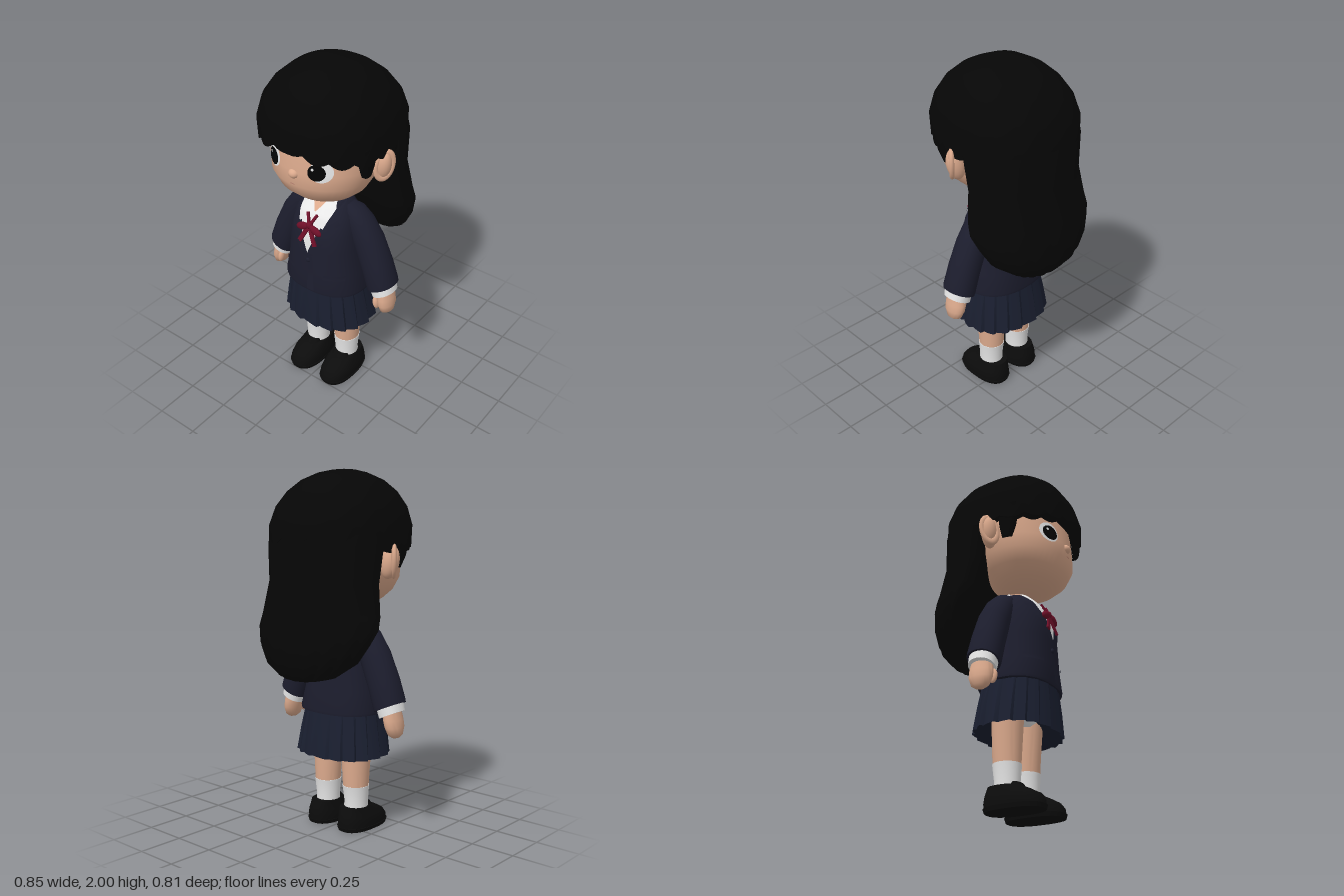
import * as THREE from 'three';
import { toCreasedNormals } from 'three/addons/utils/BufferGeometryUtils.js';

const mat = (name, color) => new THREE.MeshStandardMaterial({ name, color });

// Closed skin over rising sections [y, halfWidth, zFront, zBack, centreX]
function loft(secs, { n = 40, p = 2, mod, bottomY, topY, crease = 0.8 } = {}) {
  const pos = [], idx = [];
  const pw = v => Math.sign(v) * Math.abs(v) ** (2 / p);
  secs.forEach(([y, rx, zf, zb, cx = 0], i) => {
    for (let j = 0; j < n; j++) {
      const a = j / n * Math.PI * 2;
      const v = new THREE.Vector3(cx + rx * pw(Math.cos(a)), y, (zf + zb) / 2 + (zf - zb) / 2 * pw(Math.sin(a)));
      if (mod) mod(v, a, i, secs[i]);
      pos.push(v.x, v.y, v.z);
    }
  });
  const last = secs.length - 1;
  for (let i = 0; i < last; i++) for (let j = 0; j < n; j++) {
    const a = i * n + j, b = i * n + (j + 1) % n;
    idx.push(a, a + n, b, b, a + n, b + n);
  }
  const bot = pos.length / 3, top = bot + 1, s0 = secs[0], s1 = secs[last];
  pos.push(s0[4] || 0, bottomY ?? s0[0], (s0[2] + s0[3]) / 2, s1[4] || 0, topY ?? s1[0], (s1[2] + s1[3]) / 2);
  for (let j = 0; j < n; j++) {
    const k = (j + 1) % n;
    idx.push(bot, j, k, top, last * n + k, last * n + j);
  }
  const g = new THREE.BufferGeometry();
  g.setAttribute('position', new THREE.Float32BufferAttribute(pos, 3));
  g.setIndex(idx);
  return toCreasedNormals(g, crease);
}

// Front depth of a lofted body at (x, y)
const surface = (secs, p) => (x, y) => {
  let i = 0;
  while (i < secs.length - 2 && y > secs[i + 1][0]) i++;
  const A = secs[i], B = secs[i + 1], t = THREE.MathUtils.clamp((y - A[0]) / (B[0] - A[0]), 0, 1);
  const [, rx, zf, zb] = A.map((v, k) => v + (B[k] - v) * t);
  return (zf + zb) / 2 + (zf - zb) / 2 * Math.max(0, 1 - Math.abs(x / rx) ** p) ** (1 / p);
};

// Thin patch laid on a surface, from falling rows [y, xLeft, xRight]
function drape(rows, surf, off, cols = 10, sub = 5) {
  const pos = [], idx = [], all = [];
  rows.forEach((r, i) => {
    if (!i) return all.push(r);
    for (let s = 1; s <= sub; s++) all.push(r.map((v, k) => rows[i - 1][k] + (v - rows[i - 1][k]) * s / sub));
  });
  all.forEach(([y, a, b], i) => {
    for (let c = 0; c <= cols; c++) {
      const x = a + (b - a) * c / cols;
      pos.push(x, y, surf(x, y) + off);
      if (i && c) {
        const q = i * (cols + 1) + c, u = q - cols - 1;
        idx.push(u - 1, q - 1, u, u, q - 1, q);
      }
    }
  });
  const g = new THREE.BufferGeometry();
  g.setAttribute('position', new THREE.Float32BufferAttribute(pos, 3));
  g.setIndex(idx);
  g.computeVertexNormals();
  return g;
}

const oval = (cx, cy, rx, ry) => Array.from({ length: 17 }, (_, i) => {
  const a = i / 16 * Math.PI, w = rx * Math.sin(a);
  return [cy + ry * Math.cos(a), cx - w, cx + w];
});

export function createModel() {
  const model = new THREE.Group();
  model.name = 'schoolgirlFigure';
  const hair = mat('hairBlack', 0x060606), skin = mat('skin', 0xdcaa8d), navy = mat('jacketNavy', 0x1c1d2d),
    pleat = mat('skirtNavy', 0x1a1f30), white = mat('white', 0xefefef), sock = mat('sockWhite', 0xe4e4e4),
    red = mat('ribbonRed', 0x6e0f28), shoe = mat('shoeBlack', 0x0c0c0c), lip = mat('lip', 0xb98472),
    ink = mat('eyeBlack', 0x040404);
  const add = (name, geo, m, parent = model) => {
    const o = new THREE.Mesh(geo, m);
    o.name = name;
    parent.add(o);
    return o;
  };
  const ball = (name, m, parent, p, s, rz = 0) => {
    const o = add(name, new THREE.SphereGeometry(1, 20, 14), m, parent);
    o.position.set(...p); o.scale.set(...s); o.rotation.z = rz;
    return o;
  };

  // Head and neck
  const headSecs = [[1.245, .07, .15, 0], [1.27, .14, .22, -.05], [1.3, .19, .275, -.08], [1.35, .245, .33, -.12],
    [1.42, .285, .36, -.15], [1.5, .3, .358, -.18], [1.6, .305, .348, -.2], [1.7, .3, .335, -.2]];
  const face = surface(headSecs, 2);
  add('head', loft(headSecs, { n: 48, crease: 1.2 }), skin);
  add('neck', loft([[1.1, .075, .115, -.03], [1.3, .066, .11, -.02]]), skin);
  ball('nose', skin, model, [0, 1.485, .35], [.03, .026, .028]);
  add('mouth', drape([[1.433, -.018, .018], [1.427, -.012, .012]], face, .004), lip);

  // Eyes
  for (const [cx, px] of [[-.147, -.146], [.15, .132]]) {
    add('eyeWhite', drape(oval(cx, 1.53, .056, .06), face, .004, 10, 1), white);
    add('pupil', drape(oval(px, 1.525, .043, .045), face, .008, 10, 1), ink);
    add('eyeGlint', drape(oval(px - .018, 1.543, .007, .008), face, .011, 6, 1), white);
  }

  // Fringe and crown
  add('hairCap', loft([[1.6, .355, .398, -.352], [1.7, .36, .403, -.348], [1.8, .332, .375, -.31], [1.88, .278, .325, -.25],
    [1.94, .21, .255, -.175], [1.98, .13, .16, -.08], [1.996, .06, .1, 0]], {
    n: 96, p: 2.4, topY: 2, bottomY: 1.63,
    mod(v, a, i) {
      const clump = Math.abs(Math.cos(a * 8)), k = 1 + .012 * (clump - .5) * Math.max(0, 1 - i / 4);
      v.x *= k; v.z *= k;
      if (!i) v.y = 1.645 - .06 * Math.abs(Math.cos(a)) - .025 * clump;
    },
  }), hair);

  // Long hair down the back: round behind, flattened and hollowed in front, rounded hem
  add('backHair', loft([[.885, .2, -.16, -.34], [.93, .31, -.02, -.38], [1.0, .36, .058, -.398], [1.1, .385, .143, -.403],
    [1.2, .375, .178, -.388], [1.4, .347, .19, -.354], [1.6, .36, .235, -.357], [1.76, .33, .2, -.315]], {
    n: 96, p: 2.1,
    mod(v, a, i, [y, , zf, zb]) {
      const s = Math.sin(a), mid = (zf + zb) / 2;
      if (s > 0) v.z = mid + (v.z - mid) * .35 - .1 * s ** 6;
      const k = 1 + .025 * (Math.abs(Math.sin(a * 9)) - .6) * (1 - i / 6);
      if (i < 6) { v.x *= k; v.z *= k; }
      v.y += .1 * (v.x / .38) ** 2 * THREE.MathUtils.clamp((1.3 - y) / .3, 0, 1);
    },
  }), hair);

  // Jacket and shirt front
  const torsoSecs = [[.675, .248, .262, -.145], [.69, .25, .265, -.147], [.8, .225, .256, -.128], [.95, .21, .25, -.115],
    [1.05, .195, .238, -.1], [1.15, .17, .192, -.07], [1.2, .13, .145, -.05], [1.235, .08, .108, -.035]];
  const chest = surface(torsoSecs, 2.4);
  add('jacket', loft(torsoSecs, { n: 56, p: 2.4 }), navy);
  add('shirtFront', drape([[1.225, -.1, .1], [1.1, -.075, .075], [.93, -.004, .004]], chest, .006), white);
  add('throat', drape([[1.234, -.055, .055], [1.165, -.004, .004]], chest, .011), skin);
  add('shirtCollarBand', loft([[1.18, .095, .12, -.045], [1.245, .08, .1, -.038]],
    { mod: (v, a, i) => { if (i) v.y -= .035 * Math.max(0, Math.sin(a)); } }), white);
  add('frontEdge', drape([[.91, 0, .03], [.69, 0, .045]], chest, .005), navy);
  ball('button', navy, model, [0, .88, .256], [.014, .014, .008]);

  // Skirt with knife pleats, and underwear beneath
  add('skirt', loft([[.43, .272, .27, -.177], [.56, .25, .264, -.158], [.7, .222, .252, -.132]], {
    n: 108, p: 2.3, bottomY: .58, crease: .35,
    mod(v, a, i) {
      const saw = (Math.round(a / Math.PI / 2 * 108) % 6) / 5, k = 1 - .07 * saw * (1 - i * .35);
      v.x *= k; v.z = .05 + (v.z - .05) * k;
    },
  }), pleat);
  add('underwear', loft([[.49, .1, .1, -.02], [.53, .19, .14, -.06], [.57, .2, .15, -.07]]), white);

  // Ribbon
  ball('ribbonKnot', red, model, [0, 1.1, .236], [.02, .022, .018]);

  // Paired parts, built on the left and mirrored
  for (const side of [1, -1]) {
    const g = new THREE.Group();
    g.name = side > 0 ? 'leftSide' : 'rightSide';
    g.scale.x = side;
    model.add(g);

    // Ear and sideburn
    const ear = ball('ear', skin, g, [.328, 1.51, .045], [.05, .09, .045], -.2);
    ear.rotation.y = -.3;
    const rim = add('earRim', new THREE.TorusGeometry(.042, .014, 10, 28), skin, g);
    rim.position.set(.345, 1.515, .055);
    rim.rotation.set(0, .85, -.2);
    rim.scale.set(1, 1.7, 1);
    add('sideburn', loft([[1.475, .02, .165, .11, .294], [1.54, .027, .195, .1, .304], [1.66, .03, .22, .09, .312]],
      { n: 20, p: 3 }), hair, g);

    // Lapel, collar flap and pocket
    add('lapel', drape([[1.215, .09, .115], [1.12, .07, .15], [1.1, .064, .135], [1.09, .06, .14], [.94, .004, .05],
      [.905, 0, .008]], chest, .012), navy, g);
    add('collarFlap', drape([[1.232, .05, .08], [1.195, .026, .105], [1.165, .008, .1], [1.1, .07, .08]], chest, .017), white, g);
    add('pocketFlap', drape([[.815, .1, .2], [.785, .1, .2]], chest, .009), navy, g);

    // Bow loop, tail and collar band
    ball('bowLoop', red, g, [.043, 1.083, .242], [.042, .023, .016], -.4);
    const tail = add('ribbonTail', new THREE.BoxGeometry(.024, .11, .01), red, g);
    tail.position.set(.028, 1.043, .25);
    tail.rotation.set(-.2, 0, .45);
    const band = add('ribbonBand', new THREE.BoxGeometry(.014, .075, .012), red, g);
    band.position.set(.016, 1.13, .223);
    band.rotation.set(-.5, 0, -.4);

    // Arm
    const tilt = { p: 2.2, mod: (v, a, i, s) => { v.y += .45 * (v.x - s[4]); } };
    add('sleeve', loft([[.735, .078, .12, -.056, .348], [.75, .08, .122, -.058, .343], [.86, .079, .12, -.056, .305],
      [1.0, .077, .115, -.052, .245], [1.1, .07, .11, -.045, .185], [1.16, .055, .1, -.03, .14], [1.19, .03, .08, 0, .11]], tilt), navy, g);
    add('cuff', loft([[.695, .063, .107, -.042, .362], [.76, .068, .11, -.045, .343]], tilt), white, g);
    add('hand', loft([[.572, .018, .06, .01, .385], [.588, .034, .085, -.015, .383], [.63, .044, .1, -.032, .378],
      [.67, .046, .1, -.035, .37], [.74, .042, .09, -.025, .358]], { n: 28, crease: 1.2 }), skin, g);
    ball('thumb', skin, g, [.343, .645, .085], [.018, .042, .024], .15);

    // Leg, sock and shoe
    add('leg', loft([[.22, .07, .108, -.038, .105], [.34, .077, .115, -.043, .105], [.56, .086, .13, -.045, .108]]), skin, g);
    add('sock', loft([[.08, .068, .108, -.035, .106], [.16, .066, .106, -.03, .106], [.235, .073, .112, -.04, .105],
      [.25, .074, .113, -.042, .105]]), sock, g);
    add('sole', loft([[0, .09, .25, -.08, .112], [.022, .097, .256, -.087, .112]], { p: 2.5 }), shoe, g);
    add('shoe', loft([[.015, .092, .252, -.082, .112], [.05, .095, .248, -.084, .112], [.08, .089, .225, -.08, .111],
      [.105, .08, .18, -.074, .109], [.13, .074, .125, -.065, .107]], { p: 2.4 }), shoe, g);
    add('shoeTongue', loft([[.08, .06, .175, .06, .109], [.125, .055, .14, .06, .108], [.145, .045, .122, .07, .107]], { n: 24 }), shoe, g);
  }
  return model;
}
